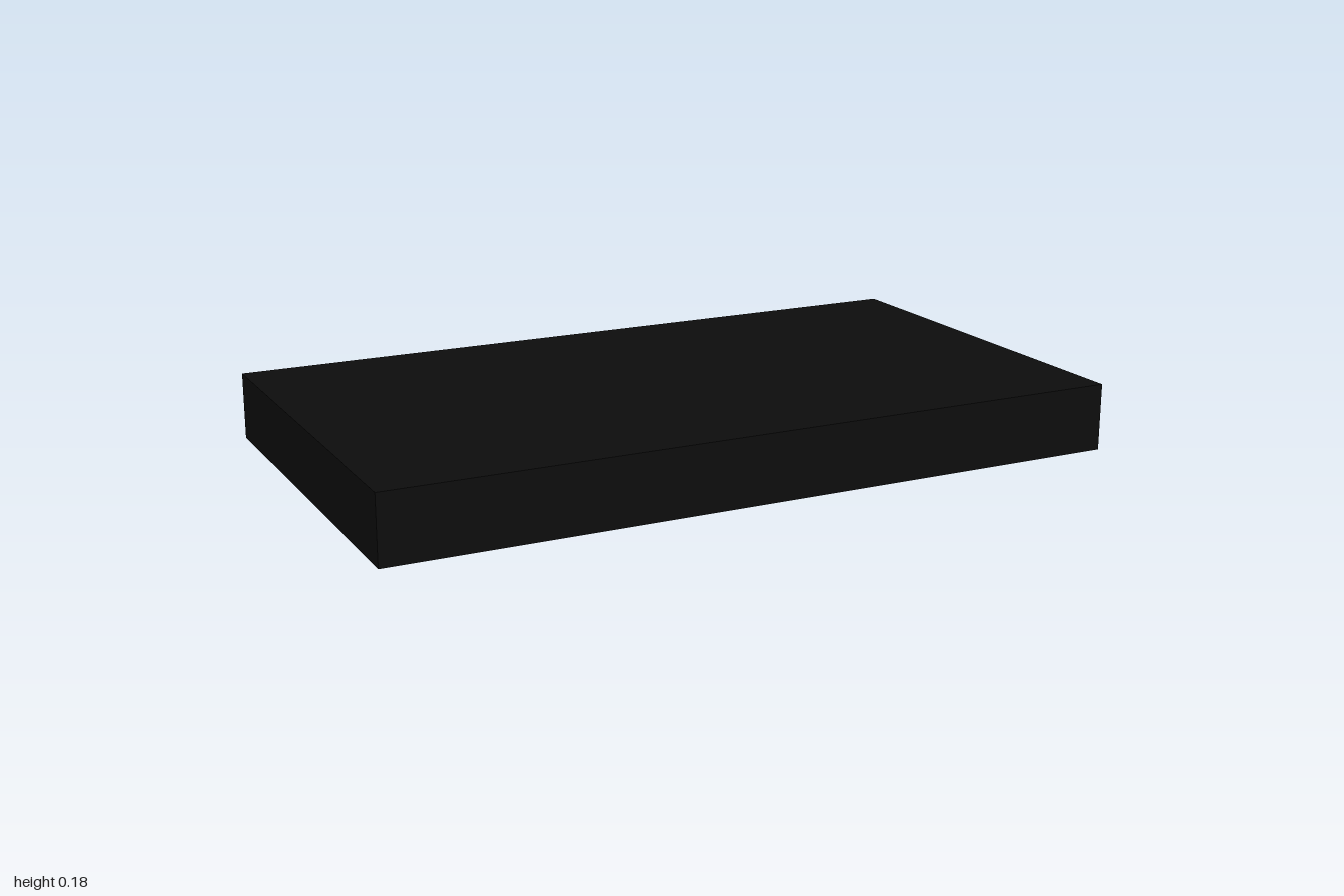
import * as THREE from 'three';

const LENGTH = 2, DEPTH = 1.12, HEIGHT = 0.18, ROOF = 0.04, T = 0.04;

export function createModel() {
  const model = new THREE.Group();
  model.name = 'mazeTray';
  const material = new THREE.MeshStandardMaterial({ color: 0x0d0d0d });

  // Box given by its extents along x, y and z
  function block(name, x0, x1, y0, y1, z0, z1, parent = model) {
    const mesh = new THREE.Mesh(new THREE.BoxGeometry(x1 - x0, y1 - y0, z1 - z0), material);
    mesh.position.set((x0 + x1) / 2, (y0 + y1) / 2, (z0 + z1) / 2);
    mesh.name = name;
    parent.add(mesh);
  }

  // Closed top plate
  const hx = LENGTH / 2, hz = DEPTH / 2, top = HEIGHT - ROOF;
  block('topPlate', -hx, hx, top, HEIGHT, -hz, hz);

  // Outer rim
  for (const s of [-1, 1]) {
    const x = s * (hx - T / 2), z = s * (hz - T / 2);
    block(s > 0 ? 'leftRim' : 'rightRim', x - T / 2, x + T / 2, 0, top, -hz, hz);
    block(s > 0 ? 'frontRim' : 'backRim', -hx + T, hx - T, 0, top, z - T / 2, z + T / 2);
  }

  // Maze walls under the plate: u runs from the left rim, w from the back rim
  const maze = new THREE.Group();
  maze.name = 'mazeWalls';
  model.add(maze);
  const wall = (name, u0, u1, w0, w1) =>
    block(name, hx - u1, hx - u0, 0, top, w0 - hz, w1 - hz, maze);

  // Walls along the length: [w, u start, u end]
  const longWalls = [
    [0.15, 0.04, 1.22], [0.15, 1.43, 1.69],
    [0.35, 0.24, 0.5],
    [0.55, 0.24, 0.76], [0.55, 1.18, 1.69],
    [0.72, 0.8, 1.22], [0.74, 1.43, 1.96],
    [0.94, 0.04, 1.23], [0.94, 1.66, 1.96],
  ];
  for (const [w, u0, u1] of longWalls) wall('longWall', u0, u1, w, w + T);

  // Walls across the depth: [u, w start, w end]
  const crossWalls = [
    [0.24, 0.39, 0.94], [0.76, 0.35, 0.76], [1.0, 0.19, 0.36],
    [1.18, 0.04, 0.15], [1.18, 0.59, 0.72],
    [1.43, 0.19, 0.35], [1.43, 0.78, 0.95],
    [1.65, 0.19, 0.35], [1.65, 0.59, 0.74],
  ];
  for (const [u, w0, w1] of crossWalls) wall('crossWall', u, u + T, w0, w1);

  return model;
}
